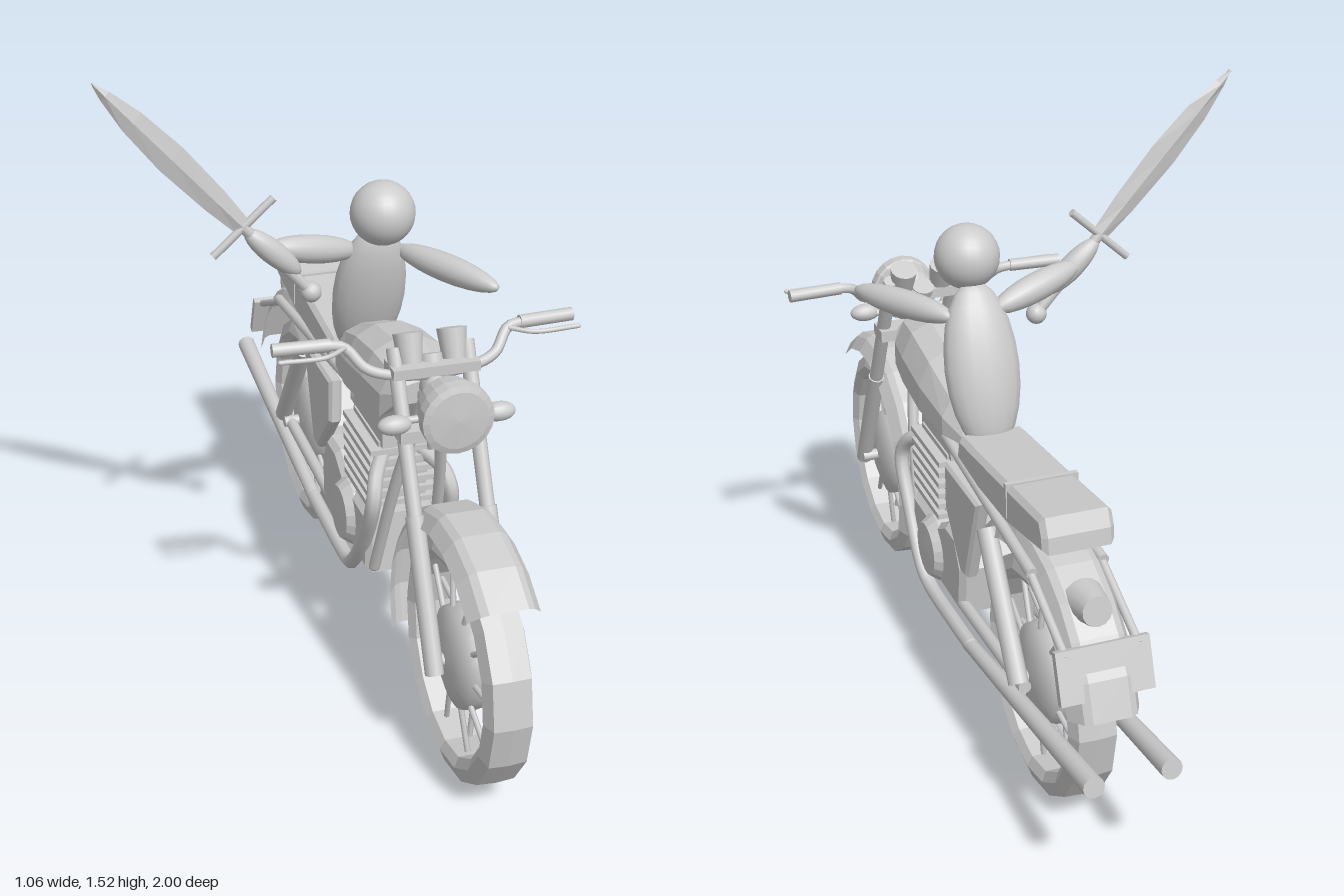
import * as THREE from 'three';

const flat = new THREE.MeshStandardMaterial({ color: 0xcccccc, flatShading: true, side: THREE.DoubleSide });
const smooth = new THREE.MeshStandardMaterial({ color: 0xcccccc });
const V = (x, y, z) => new THREE.Vector3(x, y, z);
const UP = V(0, 1, 0);

function add(parent, name, geometry, material = flat) {
  const mesh = new THREE.Mesh(geometry, material);
  mesh.name = name;
  parent.add(mesh);
  return mesh;
}

// Straight rod between two points
function rod(parent, name, a, b, r, r2 = r, sides = 10) {
  const d = b.clone().sub(a);
  const m = add(parent, name, new THREE.CylinderGeometry(r2, r, d.length(), sides), smooth);
  m.position.copy(a).add(b).multiplyScalar(0.5);
  m.quaternion.setFromUnitVectors(UP, d.normalize());
  return m;
}

// Ellipsoid stretched between two points
function limb(parent, name, a, b, rx, rz = rx) {
  const d = b.clone().sub(a);
  const m = add(parent, name, new THREE.SphereGeometry(1, 16, 12), smooth);
  m.scale.set(rx, d.length() / 2, rz);
  m.position.copy(a).add(b).multiplyScalar(0.5);
  m.quaternion.setFromUnitVectors(UP, d.normalize());
  return m;
}

// Bent pipe with capped ends; sharp corners are softened by the curve
function pipe(parent, name, pts, r) {
  const curve = new THREE.CatmullRomCurve3(pts, false, 'centripetal');
  add(parent, name, new THREE.TubeGeometry(curve, 40, r, 8), smooth);
  for (const p of [pts[0], pts[pts.length - 1]])
    add(parent, name + 'End', new THREE.SphereGeometry(r, 8, 6), smooth).position.copy(p);
}

// Side outline given as [z, y], extruded across x
function sidePlate(parent, name, outline, width, x = 0, bevel = 0) {
  const shape = new THREE.Shape(outline.map(([z, y]) => new THREE.Vector2(z, y)));
  const g = new THREE.ExtrudeGeometry(shape, {
    depth: width - 2 * bevel, bevelEnabled: bevel > 0,
    bevelSize: bevel, bevelOffset: -bevel, bevelThickness: bevel, bevelSegments: 1,
  });
  g.translate(0, 0, -width / 2 + bevel).rotateY(-Math.PI / 2).translate(x, 0, 0);
  return add(parent, name, g);
}

// Skin over rings of equal point count, closed at both ends
function loft(parent, name, rings) {
  const n = rings[0].length, idx = [];
  for (let i = 0; i < rings.length - 1; i++)
    for (let j = 0; j < n; j++) {
      const a = i * n + j, b = i * n + (j + 1) % n;
      idx.push(a, b, a + n, b, b + n, a + n);
    }
  const last = (rings.length - 1) * n;
  for (let j = 1; j < n - 1; j++) idx.push(0, j + 1, j, last, last + j, last + j + 1);
  const g = new THREE.BufferGeometry().setFromPoints(rings.flat());
  g.setIndex(idx);
  g.computeVertexNormals();
  return add(parent, name, g);
}

// Profile of [radius, x] turned about the x axis; angles run from +z upward
function turned(parent, name, profile, sides, from = 0, sweep = Math.PI * 2, material = flat) {
  const g = new THREE.LatheGeometry(profile.map(([r, x]) => new THREE.Vector2(r, x)), sides, from, sweep);
  return add(parent, name, g.rotateZ(Math.PI / 2), material);
}

function wheel(name, z) {
  const w = new THREE.Group();
  w.name = name;
  w.position.set(0, 0.293, z);
  turned(w, 'tyre', [[0.232, -0.045], [0.255, -0.058], [0.29, -0.045], [0.293, 0], [0.29, 0.045],
    [0.255, 0.058], [0.232, 0.045], [0.232, -0.045]], 16);
  turned(w, 'hub', [[0, -0.06], [0.06, -0.055], [0.12, -0.035], [0.125, 0],
    [0.12, 0.035], [0.06, 0.055], [0, 0.06]], 20, 0, Math.PI * 2, smooth);
  rod(w, 'axle', V(-0.1, 0, 0), V(0.1, 0, 0), 0.016);
  for (let i = 0; i < 20; i++) {
    const a = (i / 20) * Math.PI * 2, x = i % 2 ? 0.025 : -0.025;
    rod(w, 'spoke', V(x, 0.11 * Math.sin(a), 0.11 * Math.cos(a)),
      V(x * 0.6, 0.24 * Math.sin(a), 0.24 * Math.cos(a)), 0.007, 0.007, 6);
  }
  return w;
}

function fender(parent, name, z, inner, outer, deg0, deg1) {
  const rad = THREE.MathUtils.degToRad;
  turned(parent, name, [[inner, -0.085], [outer - 0.01, -0.062], [outer, -0.045],
    [outer, 0.045], [outer - 0.01, 0.062], [inner, 0.085]], 9, rad(deg0), rad(deg1 - deg0))
    .position.set(0, 0.3, z);
}

function motorcycle() {
  const b = new THREE.Group();
  b.name = 'motorcycle';
  b.add(wheel('frontWheel', 0.707), wheel('rearWheel', -0.515));
  fender(b, 'frontFender', 0.707, 0.305, 0.348, 48, 200);
  fender(b, 'rearFender', -0.515, 0.325, 0.38, 42, 166);

  // Fuel tank: rings of [z, bottom, top, half width]
  loft(b, 'fuelTank', [[-0.1, 0.69, 0.73, 0.06], [-0.03, 0.685, 0.81, 0.095], [0.1, 0.69, 0.865, 0.112],
    [0.24, 0.71, 0.888, 0.112], [0.34, 0.72, 0.878, 0.1], [0.39, 0.79, 0.845, 0.075]].map(([z, lo, hi, w]) =>
    [[-0.6, 0], [-1, 0.12], [-1, 0.5], [-0.75, 0.85], [-0.3, 1], [0.3, 1], [0.75, 0.85], [1, 0.5], [1, 0.12], [0.6, 0]]
      .map(([x, t]) => V(x * w, lo + (hi - lo) * t, z))));

  // Seat, strap and tail
  sidePlate(b, 'seat', [[-0.1, 0.655], [-0.45, 0.665], [-0.69, 0.71], [-0.685, 0.75], [-0.665, 0.79],
    [-0.46, 0.768], [-0.12, 0.735]], 0.17, 0, 0.012);
  const strap = add(b, 'seatStrap', new THREE.BoxGeometry(0.176, 0.085, 0.014));
  strap.position.set(0, 0.73, -0.455);
  const lamp = add(b, 'tailLamp', new THREE.CylinderGeometry(0.035, 0.05, 0.08, 14), smooth);
  lamp.rotation.x = -1.4;
  lamp.position.set(0, 0.605, -0.75);
  const plate = add(b, 'rearPlate', new THREE.BoxGeometry(0.22, 0.12, 0.02));
  plate.rotation.x = 0.35;
  plate.position.set(0, 0.49, -0.83);

  // Engine: barrel, cooling fins, crankcase and covers
  sidePlate(b, 'engineHead', [[0.015, 0.6], [0.25, 0.6], [0.25, 0.69], [0.015, 0.69]], 0.12);
  sidePlate(b, 'engineBarrel', [[0.05, 0.42], [0.22, 0.42], [0.235, 0.61], [0.03, 0.61]], 0.13);
  for (let i = 0; i < 6; i++)
    add(b, 'coolingFin', new THREE.BoxGeometry(0.18, 0.014, 0.2 + i * 0.006)).position.set(0, 0.435 + i * 0.031, 0.135);
  sidePlate(b, 'crankcase', [[0.25, 0.25], [0.24, 0.41], [0.05, 0.41], [-0.03, 0.455], [-0.11, 0.455],
    [-0.155, 0.38], [-0.14, 0.25]], 0.19, 0, 0.015);
  turned(b, 'engineCover', [[0, -0.12], [0.07, -0.115], [0.088, -0.09], [0.088, 0.09], [0.07, 0.115], [0, 0.12]], 18)
    .position.set(0, 0.33, 0.07);
  rod(b, 'intake', V(0, 0.57, 0.04), V(0, 0.575, -0.1), 0.035);
  rod(b, 'intakeCollar', V(0, 0.57, 0), V(0, 0.575, -0.03), 0.045);

  // Headlight and front mount
  const light = add(b, 'headlight', new THREE.LatheGeometry([[0, -0.09], [0.04, -0.08], [0.07, -0.05],
    [0.08, 0], [0.085, 0.005], [0.085, 0.035], [0.07, 0.04], [0, 0.045]].map(p => new THREE.Vector2(...p)), 20));
  light.rotation.x = Math.PI / 2;
  light.position.set(0, 0.848, 0.565);
  rod(b, 'steeringHead', V(0, 0.92, 0.4), V(0, 0.72, 0.49), 0.03);
  add(b, 'upperClamp', new THREE.BoxGeometry(0.21, 0.025, 0.07)).position.set(0, 0.9, 0.42);
  add(b, 'lowerClamp', new THREE.BoxGeometry(0.21, 0.03, 0.07)).position.set(0, 0.77, 0.48);
  rod(b, 'headlightMount', V(0, 0.84, 0.5), V(0, 0.84, 0.4), 0.025);
  rod(b, 'signalBar', V(-0.1, 0.815, 0.51), V(0.1, 0.815, 0.51), 0.009);
  rod(b, 'backbone', V(0, 0.82, 0.43), V(0, 0.7, -0.05), 0.025);
  pipe(b, 'handlebar', [V(-0.25, 0.957, 0.37), V(-0.2, 0.95, 0.375), V(-0.155, 0.905, 0.41), V(-0.08, 0.888, 0.43),
    V(0.08, 0.888, 0.43), V(0.155, 0.905, 0.41), V(0.2, 0.95, 0.375), V(0.25, 0.957, 0.37)], 0.013);

  // Mirrored parts
  for (const s of [-1, 1]) {
    rod(b, 'fork', V(s * 0.088, 0.945, 0.4), V(s * 0.088, 0.55, 0.598), 0.018);
    rod(b, 'forkSlider', V(s * 0.088, 0.6, 0.573), V(s * 0.088, 0.275, 0.736), 0.022);
    rod(b, 'grip', V(s * 0.23, 0.957, 0.37), V(s * 0.365, 0.957, 0.362), 0.016);
    pipe(b, 'lever', [V(s * 0.2, 0.952, 0.385), V(s * 0.25, 0.948, 0.412), V(s * 0.36, 0.95, 0.415)], 0.006);
    const gauge = add(b, 'gauge', new THREE.CylinderGeometry(0.035, 0.028, 0.07, 14), smooth);
    gauge.rotation.x = -0.4;
    gauge.position.set(s * 0.053, 0.943, 0.405);
    limb(b, 'turnSignal', V(s * 0.085, 0.815, 0.525), V(s * 0.165, 0.815, 0.525), 0.023, 0.025);
    pipe(b, 'frameTube', [V(s * 0.02, 0.82, 0.43), V(s * 0.055, 0.56, 0.345), V(s * 0.075, 0.27, 0.25)], 0.015);
    pipe(b, 'exhaustPipe', [V(s * 0.05, 0.57, 0.22), V(s * 0.085, 0.545, 0.28), V(s * 0.1, 0.49, 0.31), V(s * 0.1, 0.36, 0.25),
      V(s * 0.1, 0.23, 0.15), V(s * 0.095, 0.2, 0.1), V(s * 0.095, 0.202, -0.1), V(s * 0.095, 0.208, -0.22)], 0.019);
    rod(b, 'muffler', V(s * 0.095, 0.203, -0.2), V(s * 0.09, 0.32, -0.995), 0.018, 0.025, 12);
    rod(b, 'shockAbsorber', V(s * 0.092, 0.6, -0.34), V(s * 0.092, 0.3, -0.55), 0.024);
    rod(b, 'swingArm', V(s * 0.08, 0.27, -0.12), V(s * 0.08, 0.293, -0.56), 0.016);
    rod(b, 'seatRail', V(s * 0.075, 0.68, 0), V(s * 0.085, 0.63, -0.62), 0.014);
    rod(b, 'plateStay', V(s * 0.085, 0.63, -0.6), V(s * 0.085, 0.53, -0.82), 0.01);
    sidePlate(b, 'sidePanel', [[-0.06, 0.64], [-0.3, 0.64], [-0.21, 0.395], [-0.17, 0.39], [-0.06, 0.52]],
      0.035, s * 0.085, 0.008);
  }
  return b;
}

function rider() {
  const r = new THREE.Group();
  r.name = 'rider';
  limb(r, 'torso', V(0, 1.08, 0.005), V(0, 0.68, -0.125), 0.095, 0.06);
  add(r, 'head', new THREE.SphereGeometry(0.08, 24, 16), smooth).position.set(0, 1.13, 0.04);
  limb(r, 'leftArm', V(0.06, 1.005, -0.03), V(0.22, 0.995, 0.26), 0.035);
  limb(r, 'rightUpperArm', V(-0.04, 1.01, -0.03), V(-0.29, 1.07, 0.04), 0.036);
  limb(r, 'rightForearm', V(-0.21, 1.0, 0.05), V(-0.345, 1.125, 0.05), 0.03);

  // Raised sword, built upright with the guard at its origin
  const sword = new THREE.Group();
  sword.name = 'sword';
  loft(sword, 'blade', [[0, 0.022], [0.1, 0.032], [0.25, 0.038], [0.38, 0.03], [0.47, 0.014], [0.51, 0.002]]
    .map(([y, w]) => [V(w, y, 0), V(0, y, 0.009), V(-w, y, 0), V(0, y, -0.009)]));
  rod(sword, 'guard', V(-0.1, 0, 0), V(0.1, 0, 0), 0.01);
  rod(sword, 'hilt', V(0, -0.25, 0), V(0, 0, 0), 0.014);
  add(sword, 'pommel', new THREE.SphereGeometry(0.026, 14, 10), smooth).position.y = -0.25;
  sword.position.set(-0.35, 1.135, 0.052);
  sword.rotation.z = Math.atan2(0.34, 0.38);
  r.add(sword);
  return r;
}

export function createModel() {
  const model = new THREE.Group();
  model.name = 'riderOnMotorcycle';
  for (const part of [motorcycle(), rider()]) {
    part.position.x = 0.163;
    model.add(part);
  }
  return model;
}
